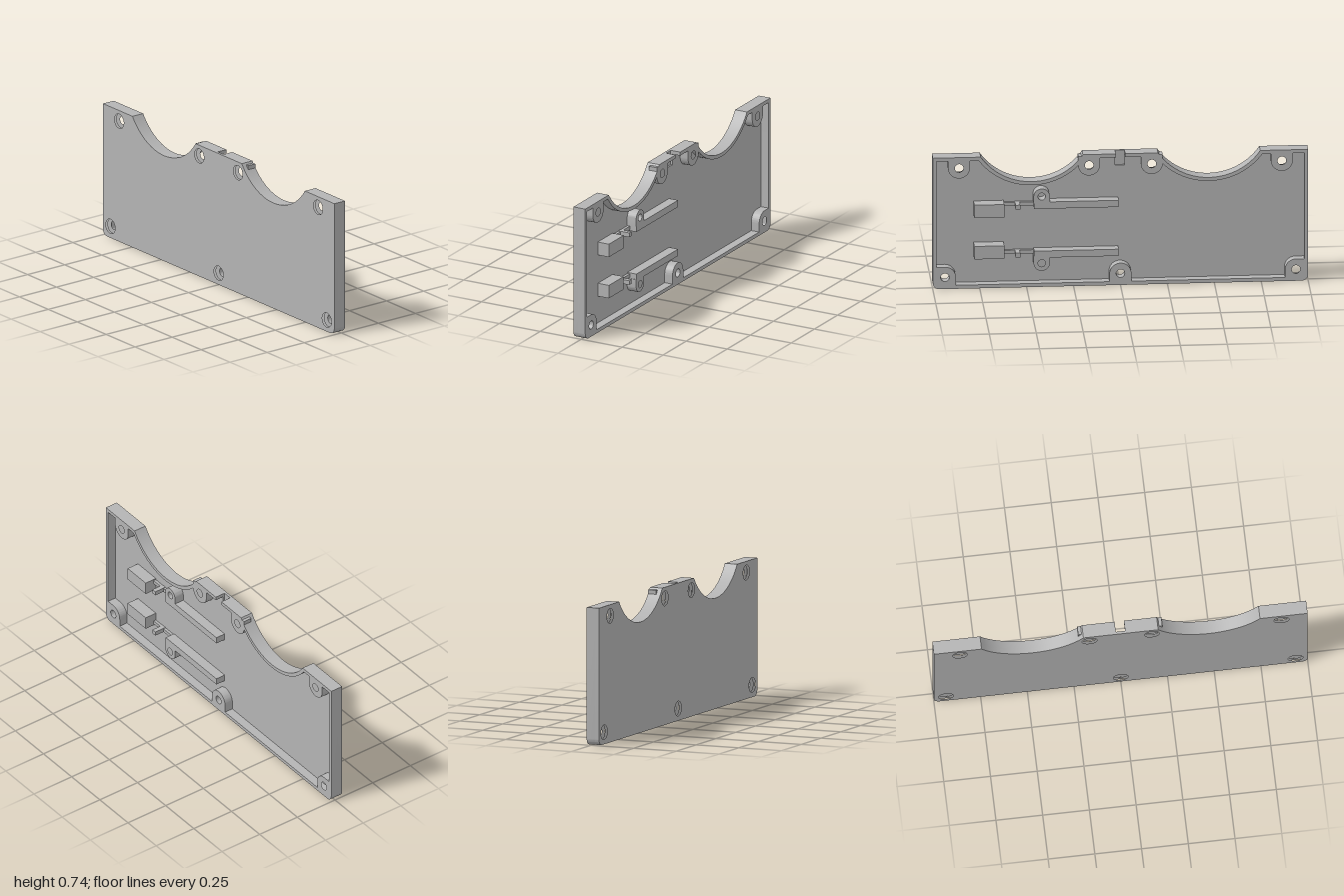
import * as THREE from 'three';
import { toCreasedNormals } from 'three/addons/utils/BufferGeometryUtils.js';

const grey = new THREE.MeshStandardMaterial({ color: 0xb4b4b4 });
grey.name = 'plain grey';

const TOP = 0.74, FRONT = 0.047, FLOOR = 0.023, BACK = -0.025, WALL = 0.02;
const CUT = { x: 0.4725, y: 0.9236, r: 0.3286 };
const NOTCH = 0.025;
const screws = [
  [-0.86, 0.68], [-0.167, 0.68], [0.167, 0.68], [0.86, 0.68],
  [-0.935, 0.065], [0, 0.065], [0.935, 0.065],
];

// Half outline (x > 0) from the top centre to the bottom centre, inset by o
function halfOutline(o, gap) {
  const top = TOP - o, side = 1 - o, r = 0.035 - o, R = CUT.r + o;
  const a = Math.asin((CUT.y - top) / R);
  const pts = [new THREE.Vector2(gap, top)];
  for (let i = 0; i <= 40; i++) {
    const t = Math.PI + a + (Math.PI - 2 * a) * i / 40;
    pts.push(new THREE.Vector2(CUT.x + R * Math.cos(t), CUT.y + R * Math.sin(t)));
  }
  pts.push(new THREE.Vector2(side, top));
  for (let i = 0; i <= 8; i++) {
    const t = -Math.PI / 2 * i / 8;
    pts.push(new THREE.Vector2(side - r + r * Math.cos(t), o + r + r * Math.sin(t)));
  }
  return pts;
}

// Full outline, mirrored, running from one side of the top gap to the other
function outline(o, gap) {
  const half = halfOutline(o, gap);
  const other = half.map(p => new THREE.Vector2(-p.x, p.y)).reverse();
  if (gap === 0) other.pop();
  return half.concat(other);
}

function addHole(shape, x, y, r) {
  const hole = new THREE.Path();
  hole.absarc(x, y, r, 0, Math.PI * 2, true);
  shape.holes.push(hole);
}

export function createModel() {
  const model = new THREE.Group();
  model.name = 'screwOnCoverPanel';

  // Extrude a shape between two depths
  function slab(name, shape, z0, z1) {
    const geo = new THREE.ExtrudeGeometry(shape, { depth: z1 - z0, bevelEnabled: false, curveSegments: 16 });
    geo.translate(0, 0, z0);
    const mesh = new THREE.Mesh(toCreasedNormals(geo, 0.5), grey);
    mesh.name = name;
    model.add(mesh);
  }
  function box(name, x0, x1, y0, y1, z0, z1) {
    const mesh = new THREE.Mesh(new THREE.BoxGeometry(x1 - x0, y1 - y0, z1 - z0), grey);
    mesh.position.set((x0 + x1) / 2, (y0 + y1) / 2, (z0 + z1) / 2);
    mesh.name = name;
    model.add(mesh);
  }
  // Round boss with straight sides running up or down to yEnd
  function boss(name, x, y, r, yEnd, holeR, z0) {
    const up = yEnd > y, s = new THREE.Shape();
    s.moveTo(x + r, yEnd);
    s.lineTo(x + r, y);
    s.absarc(x, y, r, 0, up ? -Math.PI : Math.PI, up);
    s.lineTo(x - r, yEnd);
    s.closePath();
    addHole(s, x, y, holeR);
    slab(name, s, z0, FLOOR);
  }

  // Front plate: full outer layer, and an inner layer with the cable notch
  const face = new THREE.Shape(outline(0, 0));
  const inner = new THREE.Shape([
    ...outline(0, NOTCH),
    new THREE.Vector2(-NOTCH, 0.66), new THREE.Vector2(NOTCH, 0.66),
  ]);
  for (const [x, y] of screws) {
    addHole(face, x, y, 0.04);
    addHole(inner, x, y, 0.04);
  }
  slab('frontPlate', face, 0.033, FRONT);
  slab('frontPlateInner', inner, FLOOR, 0.033);

  // Rim wall around the back, open at the notch
  const rim = new THREE.Shape(outline(0, NOTCH).concat(outline(WALL, NOTCH).reverse()));
  slab('rimWall', rim, BACK, FLOOR);

  // Screw bosses along the walls
  for (const [x, y] of screws) {
    if (Math.abs(x) < 0.9) {
      boss('screwBoss', x, y, 0.058, y > 0.3 ? TOP - 0.01 : 0.01, 0.023, BACK);
      continue;
    }
    // Corner bosses fill out to both walls
    const m = Math.sign(x), r = 0.058, w = 0.99, s = new THREE.Shape();
    s.moveTo(m * w, 0.012);
    s.lineTo(m * w, y + r);
    s.lineTo(x, y + r);
    s.absarc(x, y, r, Math.PI / 2, m > 0 ? Math.PI : 0, m < 0);
    s.lineTo(x - m * r, 0.012);
    s.closePath();
    addHole(s, x, y, 0.023);
    slab('cornerBoss', s, BACK, FLOOR);
  }

  // Two mirrored sets of inner mounts: block, rail, link, peg and post
  const mid = 0.3235;
  for (const m of [1, -1]) {
    const part = (name, x0, x1, d0, d1, z) => {
      const a = mid + m * d0, b = mid + m * d1;
      box(name, x0, x1, Math.min(a, b), Math.max(a, b), z, FLOOR);
    };
    part('mountBlock', 0.62, 0.78, 0.08, 0.153, -0.045);
    part('mountRail', 0.01, 0.46, 0.119, 0.157, -0.032);
    part('mountLink', 0.46, 0.62, 0.125, 0.145, 0.008);
    part('mountPeg', 0.535, 0.56, 0.123, 0.147, -0.045);
    boss('mountPost', 0.42, mid + m * 0.188, 0.043, mid + m * 0.15, 0.02, -0.032);
  }
  return model;
}
